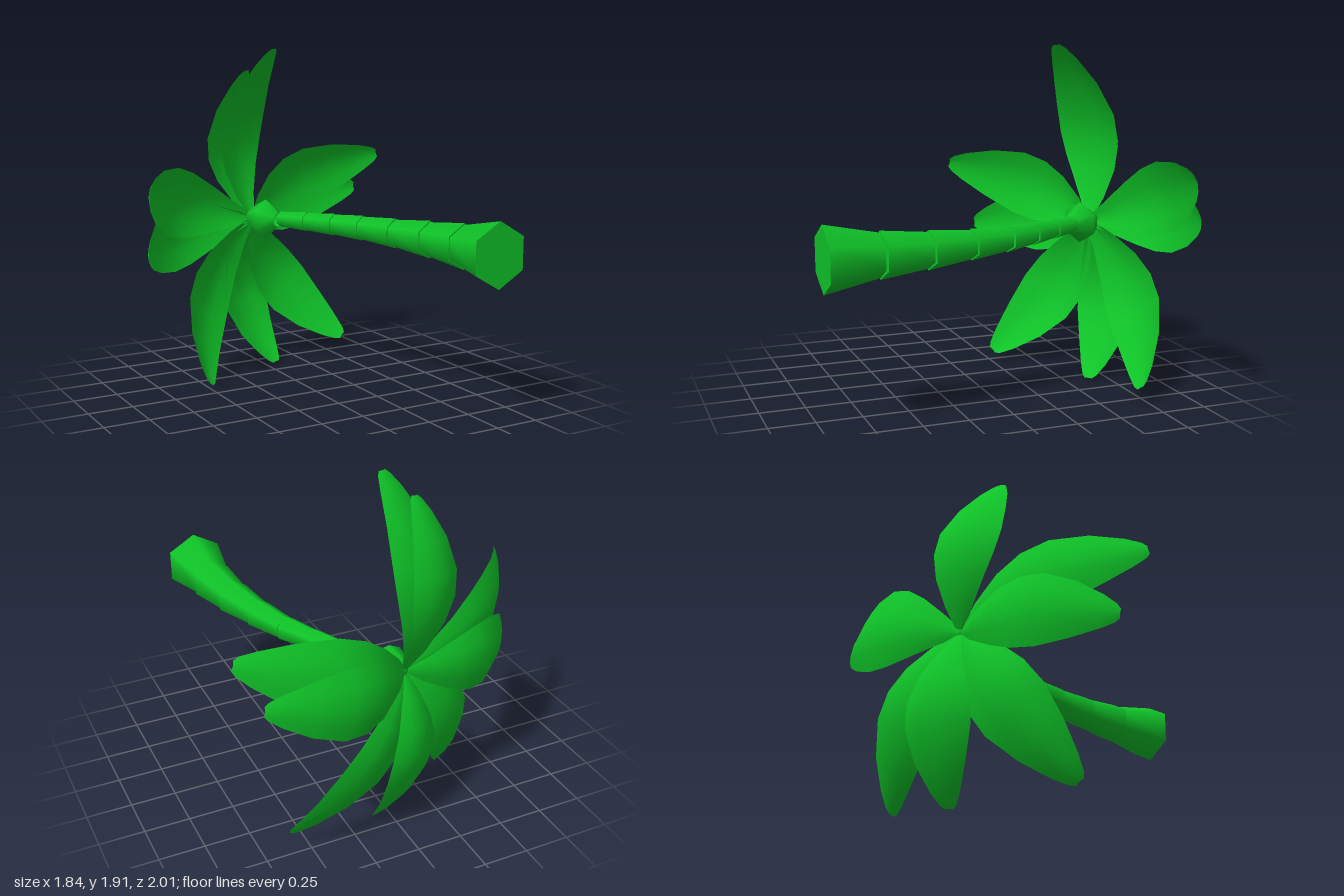
import * as THREE from 'three';

const V = (x, y, z) => new THREE.Vector3(x, y, z);

// Direction the trunk points at the crown, and where all leaves meet
const crownDir = V(-0.45, 0, -0.89).normalize();
const crownBase = V(-0.05, 0.9, -0.69);

// Trunk rings: x, y, z, radius
const rings = [
  [0.485, 0.895, 1.0, 0.175],
  [0.48, 0.897, 0.71, 0.124],
  [0.447, 0.898, 0.45, 0.103],
  [0.39, 0.9, 0.2, 0.084],
  [0.32, 0.903, -0.03, 0.072],
  [0.238, 0.905, -0.21, 0.064],
  [0.15, 0.906, -0.375, 0.056],
  [0.06, 0.907, -0.54, 0.048],
];

// Leaf tips, clockwise from the top
const tips = [
  [-0.02, 1.91, -0.46], [0.91, 1.24, -0.81], [0.8, 1.02, -0.91],
  [0.59, 0.09, -0.7], [0.08, 0.0, -0.64], [-0.52, 0.045, -0.28],
  [-0.87, 0.79, -0.29], [-0.915, 1.17, -0.14], [-0.16, 1.785, -0.54],
];

// Leaf outline: position along the leaf, half width
const outline = [
  [0, 0.02], [0.14, 0.085], [0.3, 0.15], [0.45, 0.19], [0.6, 0.195],
  [0.78, 0.15], [0.92, 0.088], [0.98, 0.05], [1, 0.025],
];

// Turns local +y along dir and local +z towards world up
function aim(mesh, dir) {
  const x = dir.clone().cross(V(0, 1, 0)).normalize();
  const z = x.clone().cross(dir);
  mesh.quaternion.setFromRotationMatrix(new THREE.Matrix4().makeBasis(x, dir, z));
}

// Arched leaf with a rounded cross-section
function leafGeometry(tip) {
  const cols = 4;
  const geo = new THREE.PlaneGeometry(1, 1, cols, outline.length - 1);
  const pos = geo.attributes.position;
  const chord = tip.clone().sub(crownBase);
  const radial = chord.clone().addScaledVector(crownDir, -chord.dot(crownDir)).normalize();
  const across = radial.clone().cross(crownDir);
  for (let i = 0; i < pos.count; i++) {
    const row = outline.length - 1 - Math.floor(i / (cols + 1));
    const [t, half] = outline[row];
    const s = pos.getX(i) * 2;
    const arch = 0.16 * 4 * t * (1 - t);
    const round = 0.05 * (half / 0.195) * (1 - s * s);
    const p = crownBase.clone()
      .addScaledVector(chord, t)
      .addScaledVector(crownDir, arch + round)
      .addScaledVector(across, s * half);
    pos.setXYZ(i, p.x, p.y, p.z);
  }
  geo.computeVertexNormals();
  return geo;
}

export function createModel() {
  const model = new THREE.Group();
  model.name = 'palmTree';
  const green = new THREE.MeshStandardMaterial({ color: 0x0fc428, side: THREE.DoubleSide });
  green.name = 'palmGreen';

  // Tapered six-sided trunk sections, each stepping out a little at its start
  const trunk = new THREE.Group();
  trunk.name = 'trunk';
  for (let i = 0; i < rings.length - 1; i++) {
    const a = V(...rings[i]), b = V(...rings[i + 1]);
    const dir = b.clone().sub(a);
    const geo = new THREE.CylinderGeometry(rings[i + 1][3] * 0.92, rings[i][3], dir.length(), 6);
    const section = new THREE.Mesh(geo, green);
    section.name = 'trunkSection' + (i + 1);
    section.position.copy(a).add(b).multiplyScalar(0.5);
    aim(section, dir.normalize());
    trunk.add(section);
  }
  model.add(trunk);

  // Bulb at the crown
  const profile = [[0.045, -0.09], [0.115, 0], [0.06, 0.1], [0, 0.11]]
    .map(([r, h]) => new THREE.Vector2(r, h));
  const bulb = new THREE.Mesh(new THREE.LatheGeometry(profile, 6), green);
  bulb.name = 'crownBulb';
  bulb.position.set(-0.003, 0.905, -0.61);
  aim(bulb, crownDir);
  model.add(bulb);

  // Leaves
  const leaves = new THREE.Group();
  leaves.name = 'leaves';
  tips.forEach((tip, i) => {
    const leaf = new THREE.Mesh(leafGeometry(V(...tip)), green);
    leaf.name = 'leaf' + (i + 1);
    leaves.add(leaf);
  });
  model.add(leaves);
  return model;
}
